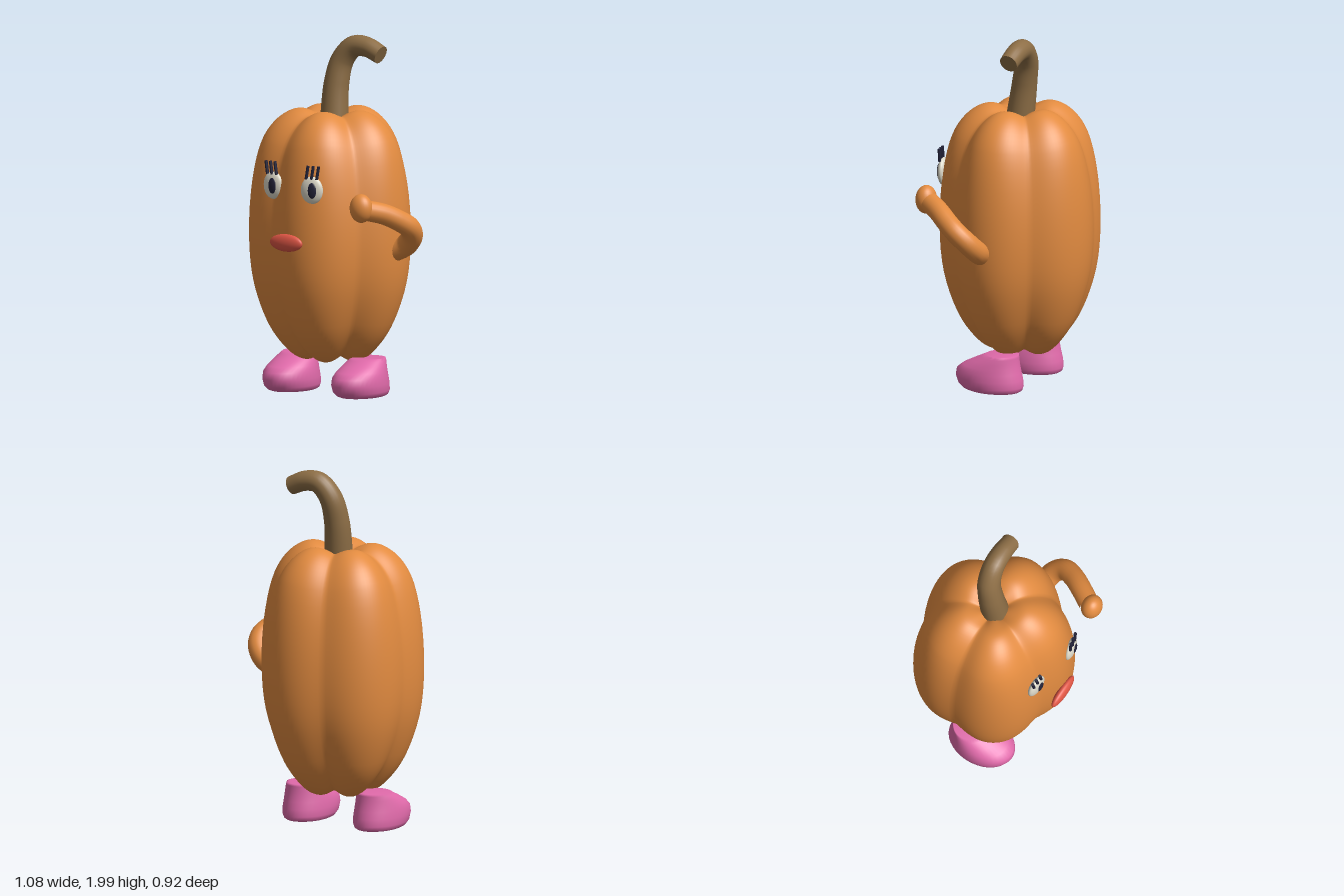
import * as THREE from 'three';

const mat = (name, color) => {
  const m = new THREE.MeshStandardMaterial({ color });
  m.name = name;
  return m;
};

const V = (x, y, z) => new THREE.Vector3(x, y, z);

function add(parent, name, geometry, material, pos = [0, 0, 0]) {
  const mesh = new THREE.Mesh(geometry, material);
  mesh.name = name;
  mesh.position.set(...pos);
  parent.add(mesh);
  return mesh;
}

// Skin closed rings stacked upwards, softly capped; point(i, angle) gives [x, y, z].
function loft(rings, sides, point) {
  const pos = [], index = [];
  for (let i = 0; i < rings; i++)
    for (let j = 0; j < sides; j++) pos.push(...point(i, (j / sides) * Math.PI * 2));
  for (let i = 0; i < rings - 1; i++)
    for (let j = 0; j < sides; j++) {
      const k = (j + 1) % sides;
      const a = i * sides + j, b = i * sides + k, c = b + sides, d = a + sides;
      index.push(a, b, c, a, c, d);
    }
  const top = (rings - 1) * sides;
  for (let j = 1; j < sides - 1; j++) {
    index.push(0, j + 1, j);
    index.push(top, top + j, top + j + 1);
  }
  const g = new THREE.BufferGeometry();
  g.setAttribute('position', new THREE.Float32BufferAttribute(pos, 3));
  g.setIndex(index);
  g.computeVertexNormals();
  return g;
}

// Tube whose radius runs from r0 to r1
function taperedTube(path, r0, r1, sides) {
  const g = new THREE.TubeGeometry(path, 40, 1, sides);
  const p = g.attributes.position, uv = g.attributes.uv, v = V(0, 0, 0);
  for (let i = 0; i < p.count; i++) {
    const t = uv.getX(i), c = path.getPointAt(t);
    v.fromBufferAttribute(p, i).sub(c).multiplyScalar(r0 + (r1 - r0) * t).add(c);
    p.setXYZ(i, v.x, v.y, v.z);
  }
  return g;
}

// Depth of the dent at an angle: five overlapping round lobes with softened seams
function lobeDent(angle) {
  const pitch = (Math.PI * 2) / 5;
  const s = Math.abs(angle / pitch - Math.round(angle / pitch)) * 2;
  const phi = (s - 0.12 * Math.pow(s, 6)) * pitch / 2;
  const offset = 0.19, radius = 0.278;
  const r = offset * Math.cos(phi) + Math.sqrt(radius ** 2 - (offset * Math.sin(phi)) ** 2);
  return 1 - r / (offset + radius);
}

const ellipsoid = (x, y, z) => new THREE.SphereGeometry(1, 28, 20).scale(x, y, z);

export function createModel() {
  const model = new THREE.Group();
  model.name = 'pumpkinFigure';
  const orange = mat('orange', 0xe28b40);
  const brown = mat('stemBrown', 0x8d6e46);
  const pink = mat('shoePink', 0xe06aaa);
  const red = mat('lipRed', 0xdf5645);
  const white = mat('eyeWhite', 0xdcd8c8);
  const dark = mat('dark', 0x23233a);

  // Body: five rounded lobes, dents deepening towards both ends
  const profile = new THREE.CatmullRomCurve3([
    [0.03, 0.26], [0.08, 0.205], [0.14, 0.18], [0.21, 0.2], [0.3, 0.285], [0.372, 0.4],
    [0.446, 0.62], [0.47, 0.88], [0.45, 1.19], [0.398, 1.4], [0.33, 1.505],
    [0.25, 1.565], [0.18, 1.583], [0.11, 1.565], [0.03, 1.52],
  ].map(([r, y]) => V(r, y, 0)));
  const rows = profile.getPoints(56);
  add(model, 'body', loft(rows.length, 120, (i, a) => {
    const { x: r, y } = rows[i];
    const t = Math.abs(y - 0.88) / 0.7;
    const dent = lobeDent(a);
    const k = 1 - dent * (1 + 0.8 * t * t);
    const ky = 1 - 0.45 * t * dent;
    return [-0.104 + r * k * Math.cos(a), 0.88 + (y - 0.88) * ky, -0.02 - 0.96 * r * k * Math.sin(a)];
  }), orange);

  // Stem: bent and tapering, with a cut end
  const stemPath = new THREE.CatmullRomCurve3([
    V(-0.094, 1.5, -0.018), V(-0.097, 1.72, -0.046), V(-0.073, 1.85, -0.07),
    V(-0.005, 1.928, -0.083), V(0.08, 1.93, -0.088), V(0.172, 1.893, -0.088)]);
  add(model, 'stem', taperedTube(stemPath, 0.08, 0.052, 20), brown);
  const tip = stemPath.getPointAt(1);
  const cut = add(model, 'stemEnd', new THREE.CircleGeometry(0.052, 20), brown, tip.toArray());
  cut.lookAt(tip.clone().add(stemPath.getTangentAt(1)));

  // Single bent arm with a round hand
  const armPath = new THREE.CatmullRomCurve3([
    V(0.32, 0.82, 0), V(0.4, 0.86, -0.008), V(0.46, 0.92, 0.02), V(0.48, 0.975, 0.075),
    V(0.455, 1.02, 0.145), V(0.41, 1.06, 0.22), V(0.345, 1.09, 0.32)]);
  add(model, 'arm', taperedTube(armPath, 0.062, 0.057, 20), orange);
  add(model, 'hand', ellipsoid(0.067, 0.08, 0.058), orange, [0.34, 1.1, 0.338]);

  // Eyes with pupils and three lashes each
  for (const [side, x, z, turn, lean] of [
    ['right', -0.245, 0.351, -0.08, -1], ['left', 0.044, 0.391, 0.2, 1]]) {
    const eye = new THREE.Group();
    eye.name = side + 'Eye';
    eye.position.set(x, 1.183, z);
    eye.rotation.y = turn;
    model.add(eye);
    add(eye, 'eyeball', ellipsoid(0.066, 0.077, 0.027), white);
    add(eye, 'pupil', ellipsoid(0.027, 0.044, 0.01), dark, [0.009, 0, 0.021]);
    for (let i = -1; i <= 1; i++) {
      const lash = add(eye, 'eyelash', new THREE.CylinderGeometry(0.009, 0.009, 0.075, 8), dark,
        [i * 0.032 + lean * 0.007, 0.099, 0.01]);
      lash.rotation.z = -lean * 0.16;
    }
  }

  // Lips
  add(model, 'lips', ellipsoid(0.108, 0.049, 0.027), red, [-0.1, 0.882, 0.433]);

  // Shoes: rows of [y, back z, front z, half width]
  const shoe = [
    [0, -0.13, 0.185, 0.112], [0.008, -0.142, 0.208, 0.126], [0.03, -0.15, 0.235, 0.137],
    [0.07, -0.146, 0.25, 0.14], [0.11, -0.136, 0.243, 0.136], [0.14, -0.129, 0.205, 0.128],
    [0.17, -0.124, 0.145, 0.116], [0.195, -0.121, 0.09, 0.104], [0.208, -0.12, 0.065, 0.095]];
  const shoeGeometry = loft(shoe.length, 40, (i, a) => {
    const [y, back, front, w] = shoe[i];
    return [w * Math.cos(a), y, (back + front) / 2 - ((front - back) / 2) * Math.sin(a)];
  });
  add(model, 'rightShoe', shoeGeometry, pink, [-0.333, 0, 0]);
  add(model, 'leftShoe', shoeGeometry, pink, [0.133, 0, 0]);

  return model;
}
